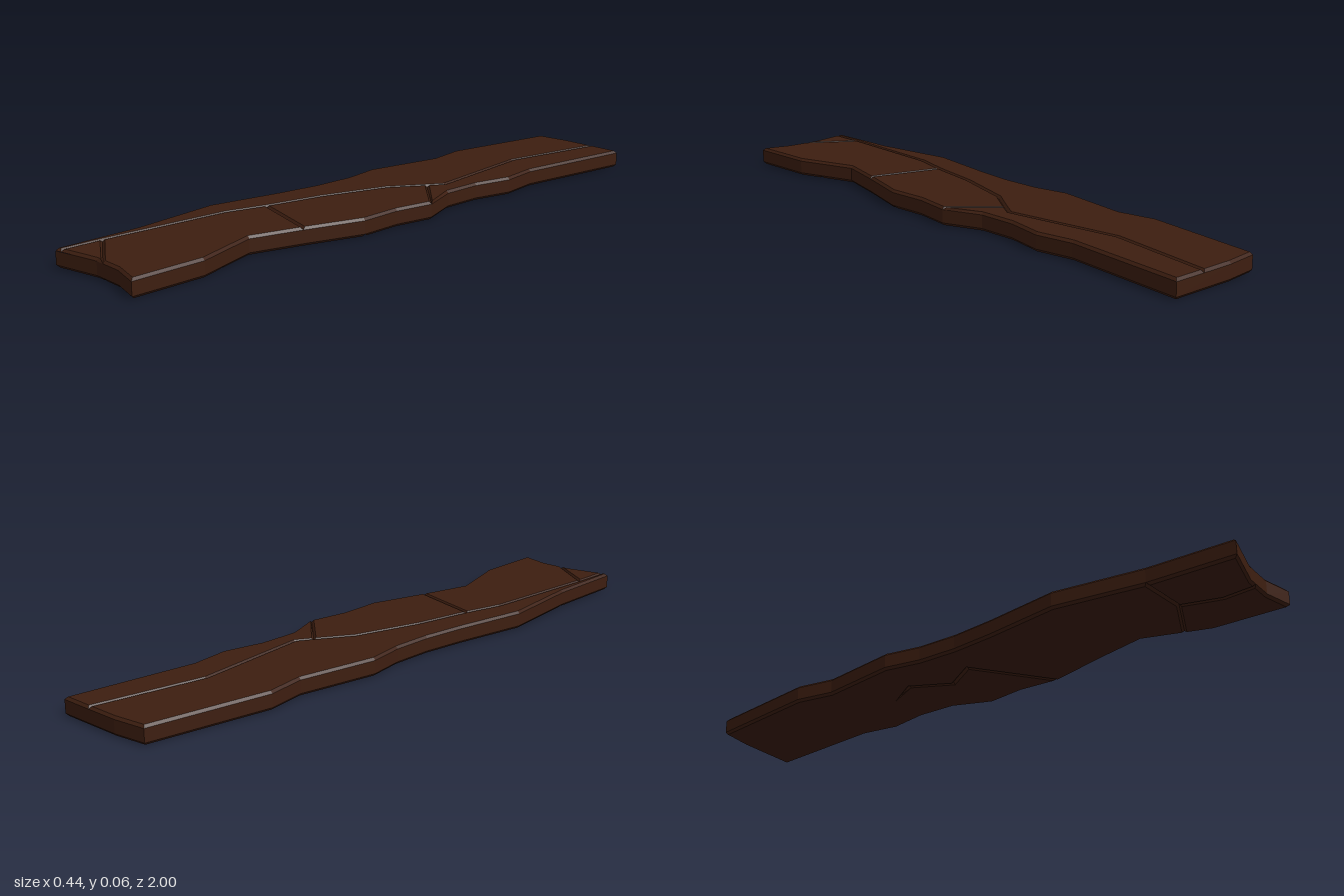
import * as THREE from 'three';

// Plan points are [x, z]; every loop runs counter-clockwise seen from above.
const leftEdge = [[-0.108, -0.98], [-0.167, -0.587], [-0.146, -0.46], [-0.172, -0.3], [-0.188, -0.2],
  [-0.167, -0.08], [-0.167, 0.053], [-0.183, 0.196], [-0.222, 0.44], [-0.185, 0.725], [-0.18, 0.997]];
const frontEdge = [[-0.03, 0.963], [0, 0.963], [0.07, 0.963], [0.167, 0.987]];
const rightEdge = [[0.163, 0.75], [0.098, 0.545], [0.14, 0.38], [0.195, 0.19], [0.19, 0.053], [0.21, -0.075],
  [0.163, -0.2], [0.163, -0.33], [0.19, -0.46], [0.172, -0.587], [0.217, -1]];
const backMid = [0, -0.995];
const outline = [backMid, ...leftEdge, ...frontEdge, ...rightEdge];

// Long crack along the top, back to front
const crack = [[0.11, -0.998], [0.05, -0.64], [0.1, -0.25], [0.07, -0.2], [0, -0.09], [-0.065, 0.13],
  [-0.1, 0.32], [-0.133, 0.45], [-0.158, 0.86], [-0.16, 0.992]];

const topPieces = {
  leftStrip: [backMid, ...leftEdge, ...[...crack].reverse()],
  rightBackBoard: [...crack.slice(0, 4), ...rightEdge.slice(5)],
  rightMiddleBoard: [...crack.slice(3, 7), ...rightEdge.slice(2, 6)],
  rightFrontBoard: [...crack.slice(6, 9), ...frontEdge.slice(1), ...rightEdge.slice(0, 3)],
  frontChip: [crack[8], crack[9], frontEdge[0], frontEdge[1]],
};

// Underside: one dead-end crack, and a forked crack near the front
const slit = [[-0.046, 0.013], [0.022, -0.093], [-0.042, -0.22], [0.017, -0.324]];
const fork = [-0.024, 0.738], forkRight = [0.137, 0.668], forkFront = [0.01, 0.86];
const bottomPieces = {
  undersideMain: [backMid, ...leftEdge.slice(0, 10), fork, forkRight, ...rightEdge.slice(1, 4),
    ...slit, ...slit.slice(0, 3).reverse(), ...rightEdge.slice(3)],
  undersideFrontLeft: [...leftEdge.slice(9), ...frontEdge.slice(0, 2), forkFront, fork],
  undersideFrontRight: [fork, forkFront, ...frontEdge.slice(1), rightEdge[0], forkRight],
};

const BEVEL = 0.007, DEPTH = 0.008;
const topY = (x) => 0.0585 - 0.007 * x;
const bottomY = (x) => 0.0015 - 0.007 * x;

// Mitred inset of a loop; the tip of a dead-end crack stays in place
function inset(loop, w) {
  const pts = loop.map(([x, z]) => new THREE.Vector2(x, -z));
  const n = pts.length;
  const normal = (i) => {
    const d = pts[(i + 1) % n].clone().sub(pts[i % n]).normalize();
    return new THREE.Vector2(-d.y, d.x);
  };
  return pts.map((p, i) => {
    const a = normal(i + n - 1), b = normal(i), k = 1 + a.dot(b);
    return k < 1e-4 ? p.clone() : p.clone().addScaledVector(a.add(b), w / Math.max(k, 0.25));
  });
}

function facets(triangles) {
  const g = new THREE.BufferGeometry();
  g.setAttribute('position', new THREE.Float32BufferAttribute(triangles.flat(2), 3));
  g.computeVertexNormals();
  return g;
}

const quad = (a, b, c, d) => [[a, b, c], [a, c, d]];

// Flat face with a sloping border; neighbouring borders form the V-shaped cracks
function boardFace(loop, isTop) {
  const inner = inset(loop, BEVEL);
  const height = isTop ? topY : bottomY;
  const drop = isTop ? -DEPTH : DEPTH;
  const cap = inner.map((p) => [p.x, height(p.x), -p.y]);
  const base = loop.map(([x, z]) => [x, height(x) + drop, z]);
  const tris = THREE.ShapeUtils.triangulateShape(inner, []).map((t) => t.map((i) => cap[i]));
  loop.forEach((_, i) => {
    const j = (i + 1) % loop.length;
    tris.push(...quad(base[i], base[j], cap[j], cap[i]));
  });
  return facets(isTop ? tris : tris.map(([a, b, c]) => [a, c, b]));
}

// Vertical wall around the whole plank
function rim() {
  const low = outline.map(([x, z]) => [x, bottomY(x) + DEPTH, z]);
  const high = outline.map(([x, z]) => [x, topY(x) - DEPTH, z]);
  return facets(outline.flatMap((_, i) => {
    const j = (i + 1) % outline.length;
    return quad(low[i], low[j], high[j], high[i]);
  }));
}

export function createModel() {
  const plank = new THREE.Group();
  plank.name = 'crackedPlank';
  const wood = new THREE.MeshStandardMaterial({ color: 0x3d1e10, flatShading: true });
  const add = (name, geometry) => {
    const mesh = new THREE.Mesh(geometry, wood);
    mesh.name = name;
    plank.add(mesh);
  };
  for (const [name, loop] of Object.entries(topPieces)) add(name, boardFace(loop, true));
  for (const [name, loop] of Object.entries(bottomPieces)) add(name, boardFace(loop, false));
  add('sideRim', rim());
  return plank;
}
